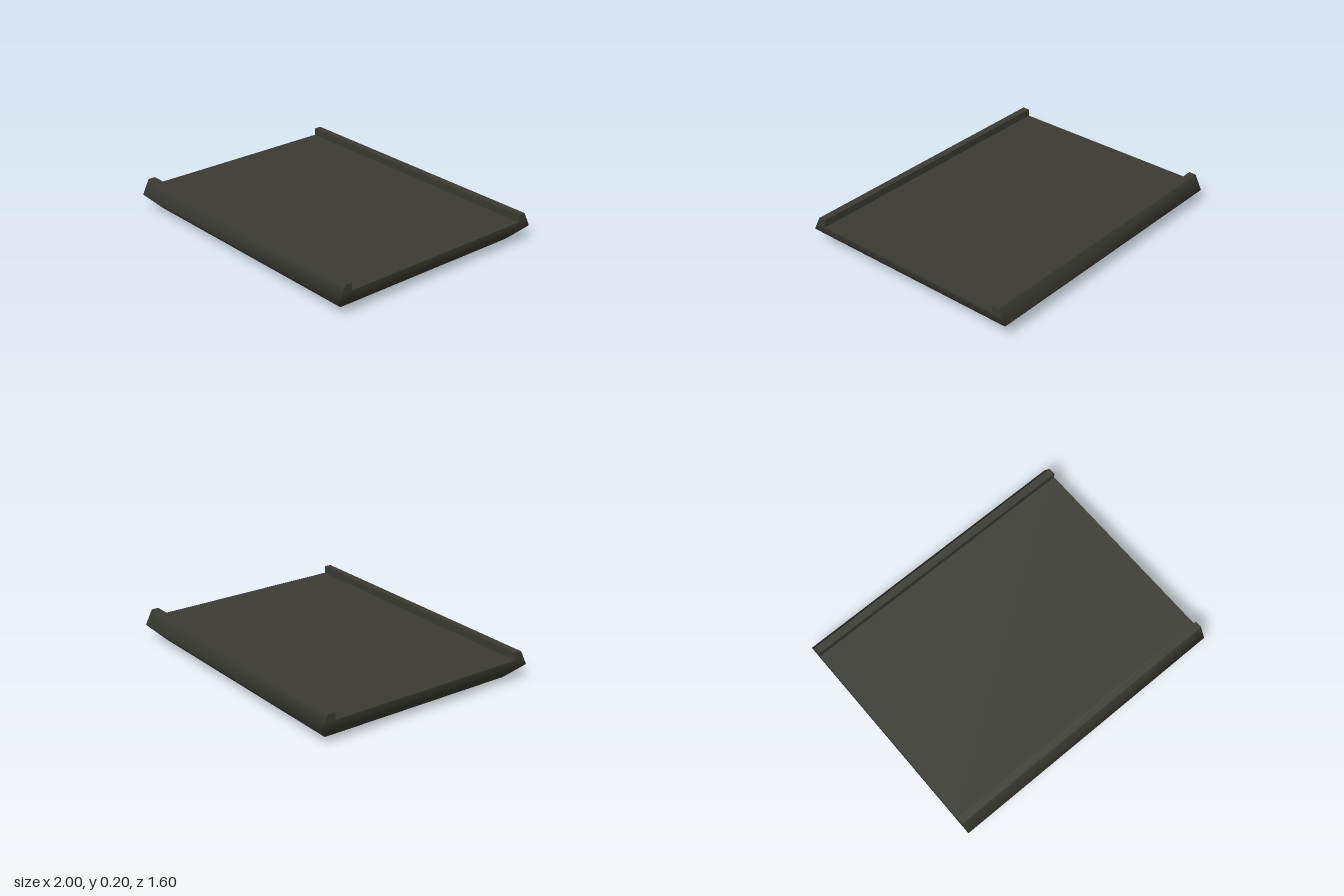
import * as THREE from 'three';

const olive = new THREE.MeshStandardMaterial({ color: 0x3b3b34, side: THREE.DoubleSide });
olive.name = 'dark olive';

// Smooth strip through rows of two points each
function sheet(name, rows) {
  const index = [];
  for (let i = 0; i < rows.length - 1; i++) {
    const a = i * 2;
    index.push(a, a + 1, a + 3, a, a + 3, a + 2);
  }
  const geo = new THREE.BufferGeometry();
  geo.setAttribute('position', new THREE.Float32BufferAttribute(rows.flat(2), 3));
  geo.setIndex(index);
  geo.computeVertexNormals();
  const mesh = new THREE.Mesh(geo, olive);
  mesh.name = name;
  return mesh;
}

export function createModel() {
  const tray = new THREE.Group();
  tray.name = 'tray';

  // Row running along x (at z) or along z (at x), ordered so faces point outward
  const alongX = (w, y, z) => { const s = Math.sign(z); return [[-w * s, y, z], [w * s, y, z]]; };
  const alongZ = (x, y, w) => { const s = Math.sign(x); return [[x, y, w * s], [x, y, -w * s]]; };

  // Deck
  tray.add(sheet('deck', [alongX(1, 0.15, 0.7), alongX(1, 0.15, -0.7).reverse()]));

  // Long sides with raised rails
  for (const s of [1, -1]) {
    tray.add(
      sheet('sideWall', [alongX(0.9, 0, 0.7 * s), alongX(1, 0.1, 0.8 * s), alongX(1, 0.2, 0.75 * s)]),
      sheet('railTop', [alongX(1, 0.2, 0.75 * s), alongX(1, 0.2, 0.7 * s)]),
      sheet('railInside', [alongX(1, 0.2, 0.7 * s), alongX(1, 0.15, 0.7 * s)]),
      sheet('innerSideWall', [alongX(0.9, 0.15, 0.7 * s), alongX(0.9, 0, 0.7 * s)]),
    );
  }

  // Short ends, with a flat lip below the left one
  for (const s of [1, -1]) {
    const rows = [alongZ(0.9 * s, 0, 0.7), alongZ(s, 0.1, 0.8), alongZ(s, 0.15, 0.775)];
    if (s > 0) rows.unshift(alongZ(0.65, 0, 0.7));
    tray.add(sheet('endWall', rows));
    const inner = s > 0 ? 0.65 : -0.9;
    tray.add(sheet('innerEndWall', [alongZ(inner, 0.15, 0.7), alongZ(inner, 0, 0.7)]));

    // Rail end caps
    for (const t of [1, -1]) {
      const rowsCap = [
        [[s, 0.15, 0.775 * t], [s, 0.15, 0.7 * t]],
        [[s, 0.2, 0.75 * t], [s, 0.2, 0.7 * t]],
      ];
      if (s * t < 0) rowsCap.forEach((r) => r.reverse());
      tray.add(sheet('railEnd', rowsCap));
    }
  }
  return tray;
}
